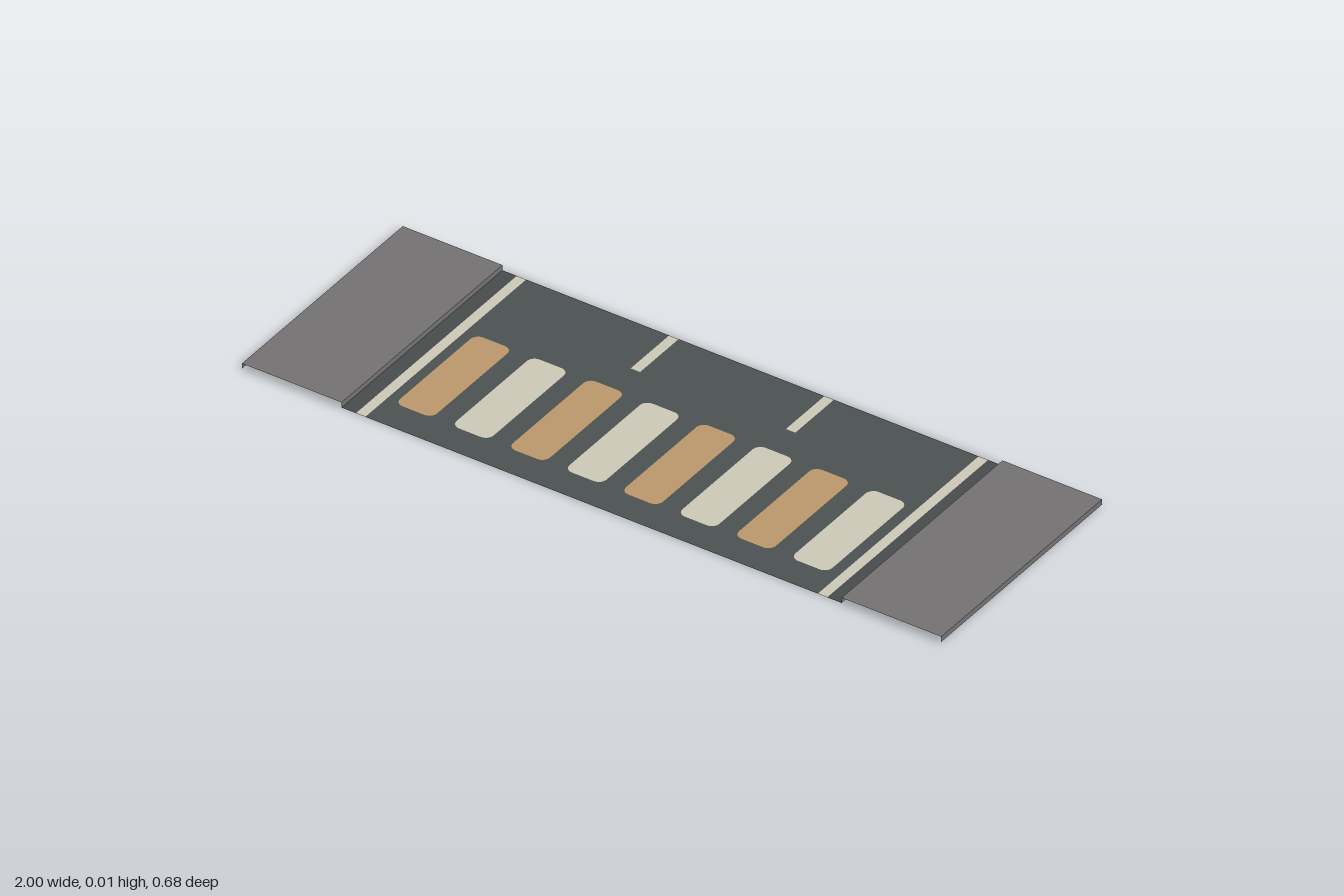
import * as THREE from 'three';

const mat = (name, color) => {
  const m = new THREE.MeshStandardMaterial({ color, side: THREE.DoubleSide });
  m.name = name;
  return m;
};

// Outline from [x, z] points, as seen from above
const outline = (points) => new THREE.Shape(points.map(([x, z]) => new THREE.Vector2(x, -z)));
const rect = (x0, x1, z0, z1) => outline([[x0, z1], [x1, z1], [x1, z0], [x0, z0]]);

// Rounded bar outline
function roundedBar(x0, x1, z0, z1, r) {
  const s = new THREE.Shape();
  const corners = [[x1 - r, z0 + r, 0], [x0 + r, z0 + r, 1], [x0 + r, z1 - r, 2], [x1 - r, z1 - r, 3]];
  for (const [x, z, q] of corners) s.absarc(x, -z, r, q * Math.PI / 2, (q + 1) * Math.PI / 2, false);
  s.closePath();
  return s;
}

export function createModel() {
  const model = new THREE.Group();
  model.name = 'roadCrossing';
  const asphalt = mat('asphalt', 0x4d5252);
  const gutterGrey = mat('gutterGrey', 0x484c4c);
  const paving = mat('paving', 0x747272);
  const cream = mat('creamPaint', 0xcecbba);
  const tan = mat('tanPaint', 0xbd986d);

  const D = 0.34, H = 0.015;         // half depth, pavement height
  const lineIn = 0.647, lineOut = 0.674, kerbX = 0.715;

  const flat = (name, shape, material, y = 0) => {
    const mesh = new THREE.Mesh(new THREE.ShapeGeometry(shape, 4).rotateX(-Math.PI / 2), material);
    mesh.position.y = y;
    mesh.name = name;
    model.add(mesh);
  };

  // Crossing bars, alternating tan and cream
  const bars = [];
  for (let i = 0; i < 8; i++) {
    const x = -0.567 + i * 0.1615;
    const bar = roundedBar(x - 0.053, x + 0.053, -0.086, 0.255, 0.022);
    bars.push(bar);
    flat('crossingBar', bar, i % 2 ? cream : tan);
  }

  // Short lane marks at the back edge
  const marks = [[-0.238, -0.211], [0.206, 0.233]];
  const markEnd = -0.177;
  for (const [a, b] of marks) flat('laneMark', rect(a, b, -D, markEnd), cream);

  // Road surface, cut out around the paint so all lies in one sheet
  const notches = [...marks].reverse().flatMap(([a, b]) => [[b, -D], [b, markEnd], [a, markEnd], [a, -D]]);
  const road = outline([[-lineIn, D], [lineIn, D], [lineIn, -D], ...notches, [-lineIn, -D]]);
  road.holes = bars;
  flat('roadSurface', road, asphalt);

  // Edge lines, gutters and raised pavements on both sides
  for (const s of [-1, 1]) {
    const strip = (name, a, b, material, y) =>
      flat(name, rect(Math.min(s * a, s * b), Math.max(s * a, s * b), -D, D), material, y);
    strip('edgeLine', lineIn, lineOut, cream);
    strip('gutter', lineOut, kerbX, gutterGrey);
    strip('pavementTop', kerbX, 1, paving, H);
    for (const [name, x, dir] of [['kerbFace', kerbX, -s], ['pavementEnd', 1, s]]) {
      const face = new THREE.Mesh(new THREE.PlaneGeometry(2 * D, H), paving);
      face.rotation.y = dir * Math.PI / 2;
      face.position.set(s * x, H / 2, 0);
      face.name = name;
      model.add(face);
    }
  }
  return model;
}
